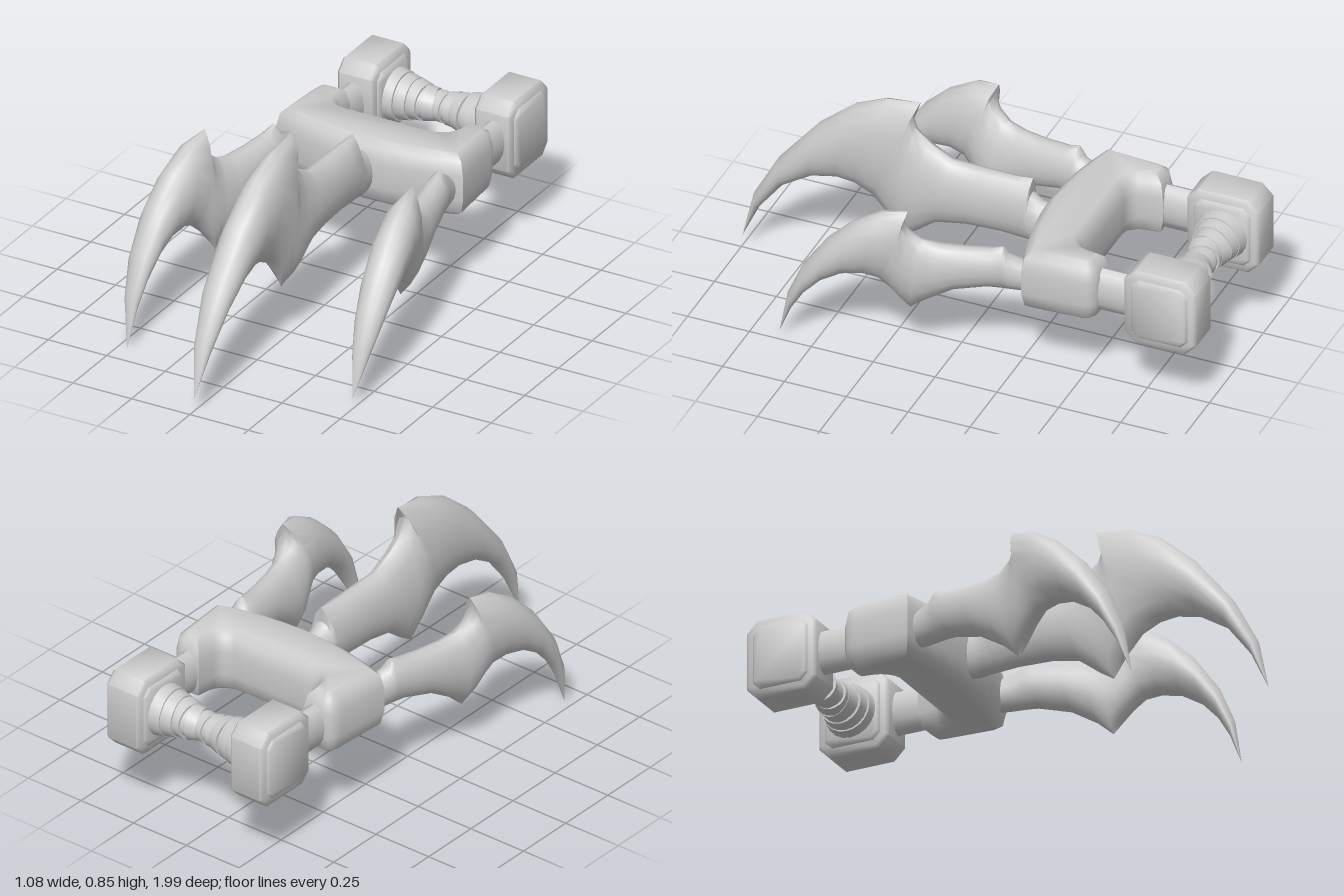
import * as THREE from 'three';
import { toCreasedNormals } from 'three/addons/utils/BufferGeometryUtils.js';

const material = new THREE.MeshStandardMaterial({ color: 0xcccccc, side: THREE.DoubleSide });
const CX = 0.013; // middle of the bar and grip

function addMesh(parent, name, geometry, crease = 0.9) {
  const mesh = new THREE.Mesh(toCreasedNormals(geometry, crease), material);
  mesh.name = name;
  parent.add(mesh);
  return mesh;
}

// Stations run root to tip: [upper z, upper y, lower z, lower y, half width, pointed edge]
const MIDDLE = [
  [-0.33, 0.55, -0.33, 0.39, 0.045], [-0.22, 0.56, -0.22, 0.38, 0.055],
  [-0.18, 0.59, -0.18, 0.385, 0.058], [-0.185, 0.655, -0.14, 0.385, 0.06, 't'],
  [-0.12, 0.645, -0.06, 0.39, 0.06], [0.02, 0.645, 0.08, 0.385, 0.065],
  [0.14, 0.65, 0.2, 0.36, 0.066], [0.23, 0.7, 0.29, 0.29, 0.07],
  [0.29, 0.75, 0.345, 0.255, 0.071, 'b'], [0.31, 0.81, 0.39, 0.335, 0.073],
  [0.27, 0.87, 0.46, 0.41, 0.075, 't'], [0.41, 0.85, 0.53, 0.445, 0.076],
  [0.54, 0.79, 0.6, 0.455, 0.076], [0.68, 0.67, 0.7, 0.435, 0.074],
  [0.84, 0.475, 0.82, 0.36, 0.06], [0.94, 0.29, 0.92, 0.23, 0.036],
  [0.99, 0.08, 0.99, 0.08, 0],
];
const OUTER = [
  [-0.34, 0.51, -0.34, 0.385, 0.045], [-0.23, 0.55, -0.24, 0.385, 0.05],
  [-0.215, 0.59, -0.2, 0.385, 0.052, 't'], [-0.17, 0.57, -0.15, 0.385, 0.055],
  [-0.07, 0.56, -0.02, 0.35, 0.06], [0.03, 0.56, 0.08, 0.285, 0.065],
  [0.1, 0.575, 0.15, 0.22, 0.066, 'b'], [0.15, 0.61, 0.18, 0.27, 0.069],
  [0.17, 0.65, 0.22, 0.32, 0.07], [0.15, 0.71, 0.27, 0.365, 0.072, 't'],
  [0.25, 0.69, 0.33, 0.378, 0.074], [0.36, 0.62, 0.41, 0.365, 0.073],
  [0.46, 0.52, 0.49, 0.315, 0.066], [0.56, 0.37, 0.555, 0.24, 0.052],
  [0.62, 0.22, 0.605, 0.15, 0.032], [0.655, 0.015, 0.655, 0.015, 0],
];

// Oval rings lofted through the stations; pointed edges narrow to a ridge
function clawGeometry(stations) {
  const N = 16, positions = [], index = [];
  stations.forEach(([zt, yt, zb, yb, w, point], i) => {
    for (let j = 0; j < N; j++) {
      const a = (j / N) * Math.PI * 2, c = Math.cos(a), s = Math.sin(a);
      const t = (1 + c) / 2;
      const sharp = (point === 't' && c > 0) || (point === 'b' && c < 0);
      positions.push(w * s * (sharp ? Math.abs(s) : 1), yb + (yt - yb) * t, zb + (zt - zb) * t);
      if (i < stations.length - 1) {
        const p = i * N + j, q = i * N + ((j + 1) % N);
        index.push(p, p + N, q, q, p + N, q + N);
      }
    }
  });
  const g = new THREE.BufferGeometry();
  g.setAttribute('position', new THREE.Float32BufferAttribute(positions, 3));
  g.setIndex(index);
  return g;
}

// Eight-sided prism with chamfered corners, lying along x
function chamferedPrism(hz, hy, c, length) {
  const s = new THREE.Shape([
    [-hz + c, -hy], [hz - c, -hy], [hz, -hy + c], [hz, hy - c],
    [hz - c, hy], [-hz + c, hy], [-hz, hy - c], [-hz, -hy + c],
  ].map(([x, y]) => new THREE.Vector2(x, y)));
  const b = 0.012;
  return new THREE.ExtrudeGeometry(s, {
    depth: length - 2 * b, bevelThickness: b, bevelSize: b, bevelOffset: -b, bevelSegments: 1,
  }).translate(0, 0, b - length / 2).rotateY(Math.PI / 2);
}

// U-shaped knuckle bar with a bowed front and two arms pointing back
function barGeometry() {
  const s = new THREE.Shape();
  s.moveTo(-0.4, 0.31);
  s.quadraticCurveTo(0, 0.17, 0.4, 0.31);
  s.lineTo(0.385, 0.54);
  s.quadraticCurveTo(0.38, 0.595, 0.33, 0.6);
  s.lineTo(0.25, 0.6);
  s.lineTo(0.24, 0.53);
  s.quadraticCurveTo(0.235, 0.48, 0.18, 0.475);
  s.lineTo(-0.18, 0.475);
  s.quadraticCurveTo(-0.235, 0.48, -0.24, 0.53);
  s.lineTo(-0.25, 0.6);
  s.lineTo(-0.33, 0.6);
  s.quadraticCurveTo(-0.38, 0.595, -0.385, 0.54);
  return new THREE.ExtrudeGeometry(s, {
    depth: 0.1, bevelThickness: 0.08, bevelSize: 0.04, bevelOffset: -0.04,
    bevelSegments: 2, curveSegments: 8,
  }).rotateX(-Math.PI / 2).translate(CX, 0.42, 0);
}

export function createModel() {
  const model = new THREE.Group();

  // Claws: one straight in the middle, two splayed and rolled outwards
  addMesh(model, 'middleClaw', clawGeometry(MIDDLE)).position.x = CX;
  for (const [side, name, sy, sz] of [[1, 'leftClaw', 0.94, 0.99], [-1, 'rightClaw', 1, 1.02]]) {
    const claw = addMesh(model, name, clawGeometry(OUTER).translate(0, -0.45, 0.3).scale(1, sy, sz));
    claw.position.set(CX + side * 0.325, 0.45, -0.3);
    claw.rotation.set(0, side * 0.2, -side * 0.1);
  }

  addMesh(model, 'knuckleBar', barGeometry(), 0.7);

  for (const side of [1, -1]) {
    const label = side > 0 ? 'left' : 'right';
    // Post joining the bar arm to the grip block
    const post = new THREE.CylinderGeometry(1, 1, 0.22, 12).rotateX(Math.PI / 2).scale(0.047, 0.09, 1);
    addMesh(model, label + 'Post', post).position.set(CX + side * 0.3, 0.46, -0.64);
    // Grip block with raised end plates
    const block = new THREE.Group();
    block.name = label + 'GripBlock';
    block.position.set(CX + side * 0.293, 0.46, -0.855);
    addMesh(block, 'blockBody', chamferedPrism(0.145, 0.16, 0.045, 0.156));
    addMesh(block, 'blockPlates', chamferedPrism(0.115, 0.128, 0.03, 0.178));
    model.add(block);
  }

  // Grip: waisted core wound with slightly tilted bands
  const grip = new THREE.Group();
  grip.name = 'grip';
  grip.position.set(CX, 0.46, -0.857);
  const radiusAt = (x) => 0.06 + 0.05 * Math.pow(Math.abs(x) / 0.22, 1.3);
  const profile = [];
  for (let i = 0; i <= 8; i++) {
    const x = -0.24 + i * 0.06;
    profile.push(new THREE.Vector2(radiusAt(x) - 0.008, x));
  }
  addMesh(grip, 'gripCore', new THREE.LatheGeometry(profile, 20).rotateZ(-Math.PI / 2));
  for (let i = -4; i <= 4; i++) {
    const x = i * 0.046, r = radiusAt(x);
    const band = addMesh(grip, 'gripBand',
      new THREE.CylinderGeometry(r + 0.004 * Math.sign(i), r - 0.004 * Math.sign(i), 0.044, 20).rotateZ(-Math.PI / 2));
    band.position.x = x;
    band.rotation.y = Math.abs(i) < 3 ? (i % 2 ? 0.2 : -0.16) : 0.05 * Math.sign(i);
  }
  model.add(grip);

  return model;
}
